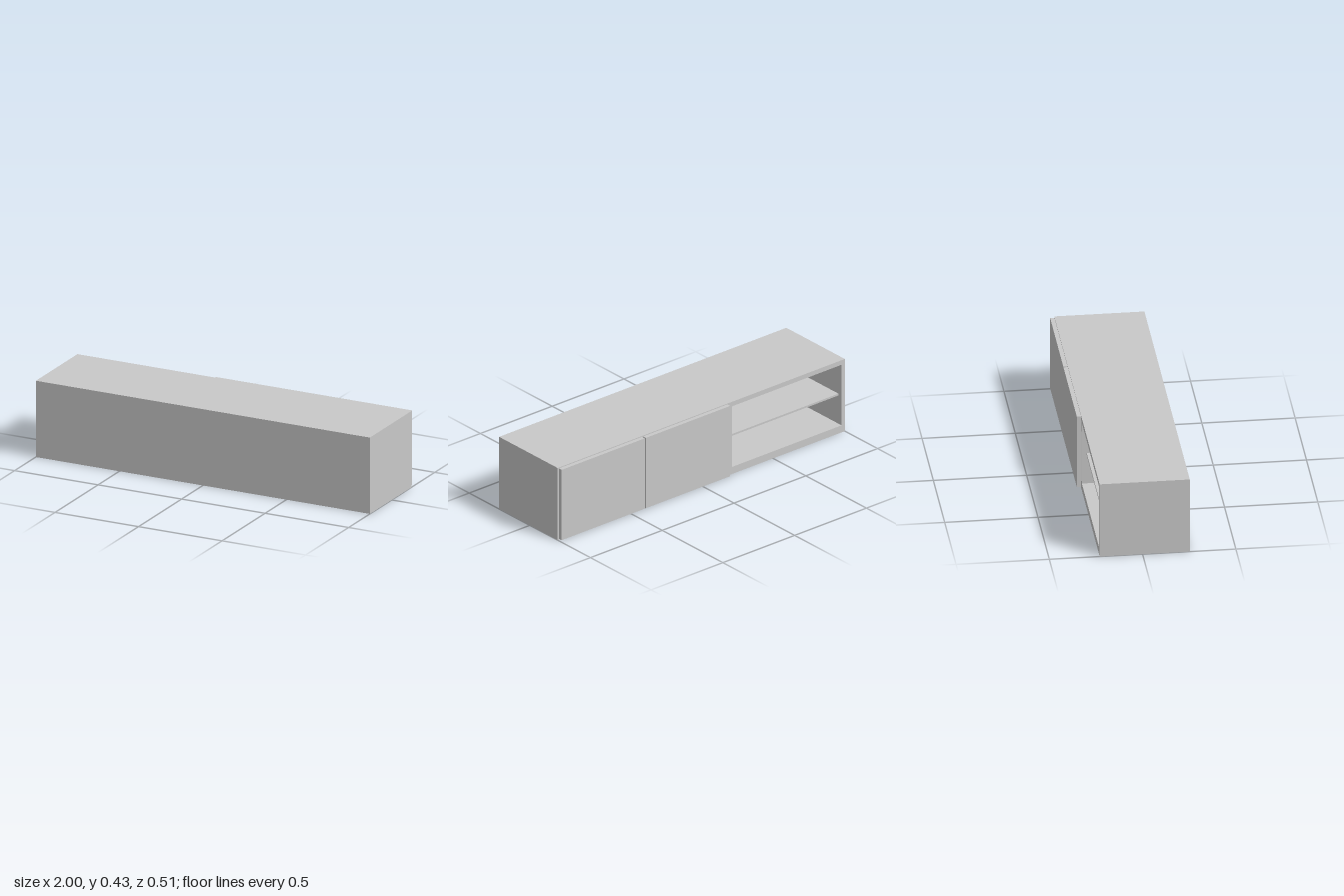
import * as THREE from 'three';

export function createModel() {
  const group = new THREE.Group();
  const paint = new THREE.MeshStandardMaterial({ color: 0xc8c8c8 });
  paint.name = 'light grey';

  // Box given by its limits on each axis
  function panel(name, [x0, x1], [y0, y1], [z0, z1]) {
    const mesh = new THREE.Mesh(new THREE.BoxGeometry(x1 - x0, y1 - y0, z1 - z0), paint);
    mesh.name = name;
    mesh.position.set((x0 + x1) / 2, (y0 + y1) / 2, (z0 + z1) / 2);
    group.add(mesh);
  }

  const height = 0.43, back = -0.23, front = 0.253;
  const t = 0.023, floor = 0.042, ceiling = 0.403;
  const depth = [back, front], inside = [back, front - t];

  // Carcass
  panel('topPanel', [-1, 1], [ceiling, height], depth);
  panel('bottomPanel', [-1, 1], [0, floor], depth);
  panel('rightSide', [-1, -1 + t], [floor, ceiling], depth);
  panel('leftSide', [1 - t, 1], [floor, ceiling], depth);
  panel('frontPanel', [-1 + t, 1 - t], [floor, ceiling], [front - t, front]);

  // Dividers between the compartments
  panel('shelfDivider', [-0.215, -0.215 + t], [floor, ceiling], inside);
  panel('doorDivider', [0.41 - t / 2, 0.41 + t / 2], [floor, ceiling], inside);

  // Thin shelf, set back in the open compartment
  panel('shelf', [-1 + t, -0.215], [0.21, 0.221], [back + 0.026, front - t]);

  // Two overlay doors
  for (const [name, span] of [['innerDoor', [-0.182, 0.406]], ['outerDoor', [0.413, 0.992]]]) {
    panel(name, span, [0.006, 0.425], [-0.253, back]);
  }
  return group;
}
